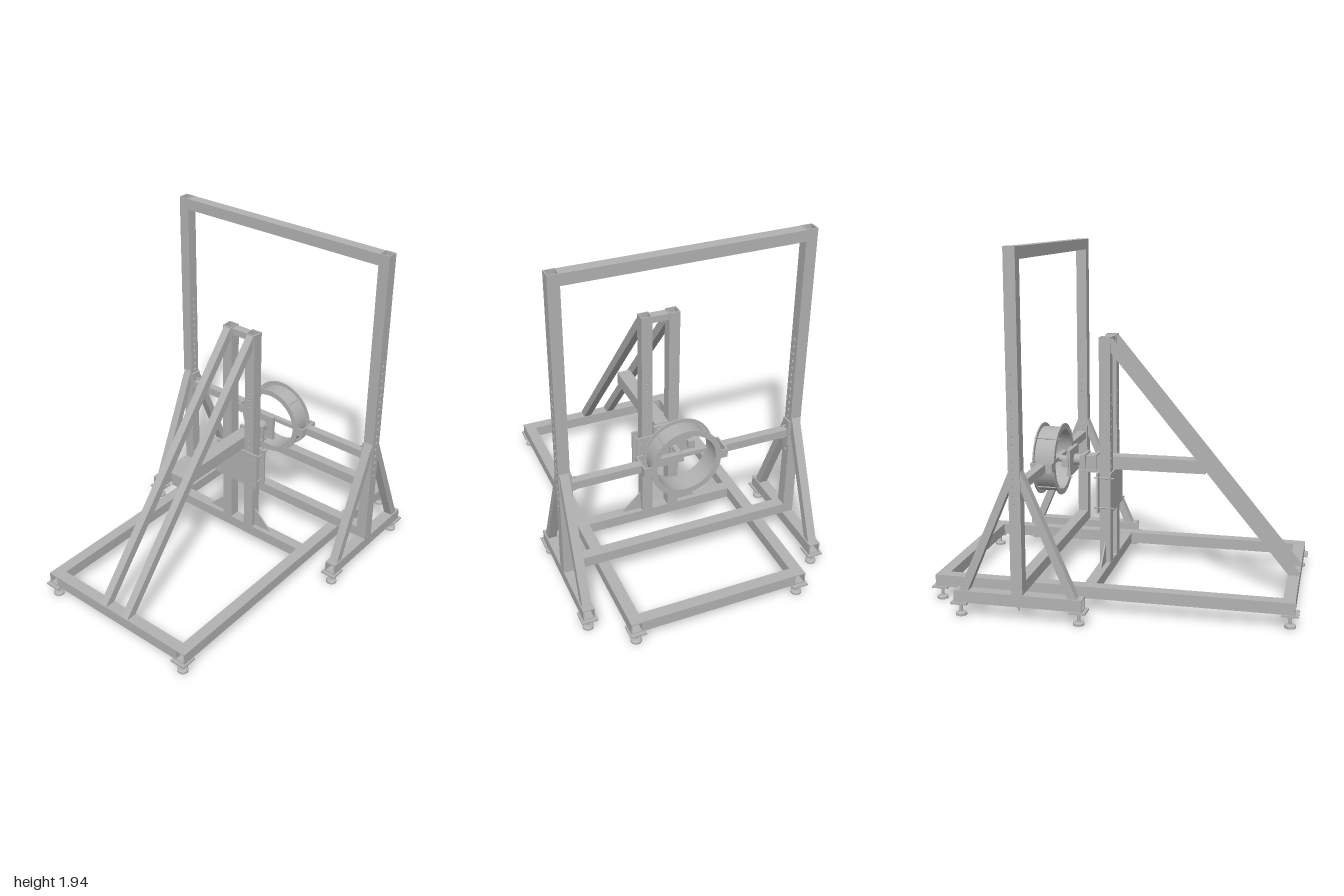
import * as THREE from 'three';

const steel = new THREE.MeshStandardMaterial({ color: 0xb2b2b2 });
steel.name = 'steel grey';
const WALL = 0.006, BEAM = 0.063;

export function createModel() {
  const model = new THREE.Group();
  model.name = 'testRig';

  const add = (name, geo, x = 0, y = 0, z = 0, parent = model) => {
    const mesh = new THREE.Mesh(geo, steel);
    mesh.name = name;
    mesh.position.set(x, y, z);
    parent.add(mesh);
    return mesh;
  };
  // Box from its minimum and maximum corners
  const box = (name, x0, x1, y0, y1, z0, z1, parent) => add(name,
    new THREE.BoxGeometry(x1 - x0, y1 - y0, z1 - z0),
    (x0 + x1) / 2, (y0 + y1) / 2, (z0 + z1) / 2, parent);
  const turn = (geo, axis) => {
    if (axis === 'x') geo.rotateZ(-Math.PI / 2);
    if (axis === 'z') geo.rotateX(Math.PI / 2);
    return geo;
  };
  const rod = (name, axis, r, len, x, y, z, sides = 16) =>
    add(name, turn(new THREE.CylinderGeometry(r, r, len, sides), axis), x, y, z);
  const polygon = pts => new THREE.Shape(pts.map(p => new THREE.Vector2(...p)));
  const extrude = (shape, depth) => new THREE.ExtrudeGeometry(shape,
    { depth, bevelEnabled: false, curveSegments: 5 }).translate(0, 0, -depth / 2);
  const square = s => [[-s, -s], [s, -s], [s, s], [-s, s]];

  // Open-ended hollow square tube
  const tube = (name, axis, len, size, x, y, z) => {
    const shape = polygon(square(size / 2));
    shape.holes.push(polygon(square(size / 2 - WALL)));
    const geo = extrude(shape, len);
    if (axis === 'x') geo.rotateY(Math.PI / 2);
    if (axis === 'y') geo.rotateX(-Math.PI / 2);
    return add(name, geo, x, y, z);
  };

  // Upright hollow tube with a row of holes through its local z walls
  const perforatedPost = (name, x, z, y0, y1, holeY0, holeY1, count, r) => {
    const post = new THREE.Group();
    post.name = name;
    post.position.set(x, 0, z);
    const h = BEAM / 2;
    const shape = polygon([[-h, y0], [h, y0], [h, y1], [-h, y1]]);
    for (let i = 0; i < count; i++) {
      const hole = new THREE.Path();
      hole.absarc(0, holeY0 + (holeY1 - holeY0) * i / (count - 1), r, 0, Math.PI * 2, true);
      shape.holes.push(hole);
    }
    for (const s of [-1, 1]) {
      add('perforatedWall', extrude(shape, WALL), 0, 0, s * (h - WALL / 2), post);
      add('plainWall', new THREE.BoxGeometry(WALL, y1 - y0, BEAM - 2 * WALL),
        s * (h - WALL / 2), (y0 + y1) / 2, 0, post);
    }
    model.add(post);
    return post;
  };

  // Levelling foot with its mounting plate
  const foot = (x, z) => {
    const profile = [[0, 0], [0.03, 0], [0.03, 0.012], [0.022, 0.018], [0.009, 0.02], [0.009, 0.055],
      [0.017, 0.055], [0.017, 0.07], [0, 0.07]].map(p => new THREE.Vector2(...p));
    const geo = new THREE.LatheGeometry(profile, 16).toNonIndexed();
    geo.computeVertexNormals();
    add('levellingFoot', geo, x, 0, z);
    box('footPlate', x - 0.045, x + 0.045, 0.07, 0.08, z - 0.045, z + 0.045);
  };

  // Base frame
  const baseY = 0.1125;
  for (const s of [-1, 1]) {
    tube('baseSideBeam', 'x', 1.96, 0.065, 0, baseY, s * 0.477);
    tube('baseEndBeam', 'z', 0.89, 0.065, s * 0.947, baseY, 0);
    for (const t of [-1, 1]) foot(s * 0.955, t * 0.475);
  }
  tube('baseCrossBeam', 'z', 0.89, BEAM, 0.115, baseY, 0);

  // Gantry
  const gx = 0.445;
  tube('gantryTopBeam', 'z', 1.29, BEAM, gx, 1.907, 0);
  tube('gantryLowerBeam', 'z', 1.29, BEAM, gx, 0.176, 0);
  for (const s of [-1, 1]) {
    const z = s * 0.675;
    perforatedPost('gantryPost', gx, z, 0.145, 1.94, 0.59, 1.302, 17, 0.009);
    tube('outriggerBeam', 'x', 0.70, 0.065, gx, baseY, z);
    foot(0.12, z);
    foot(0.767, z);
    rod('postBolt', 'y', 0.006, 0.03, gx, 0.066, z);
    for (const side of [-1, 1]) {
      const leg = [[-0.32, 0.145], [-0.272, 0.145], [-0.031, 0.71], [-0.031, 0.81]]
        .map(([x, y]) => [x * side, y]);
      add('outriggerBrace', extrude(polygon(leg), 0.05), gx, 0, z);
    }
    // Ring support arm with its end brackets
    tube('ringSupportArm', 'z', 0.39, 0.047, gx, 0.711, s * 0.438);
    box('postBracket', gx - 0.03, gx + 0.03, 0.63, 0.79, s * 0.638 - 0.005, s * 0.638 + 0.005);
    for (const y of [0.67, 0.75]) rod('bracketBolt', 'z', 0.005, 0.05, gx, y, s * 0.63, 8);
    box('ringBracketEnd', 0.385, 0.507, 0.685, 0.737, s * 0.24 - 0.005, s * 0.24 + 0.005);
    for (const x of [0.388, 0.504])
      box('ringBracketSide', x - 0.004, x + 0.004, 0.685, 0.737, s * 0.21 - 0.035, s * 0.21 + 0.035);
    for (const y of [0.57, 0.853]) rod('ringBolt', 'x', 0.004, 0.15, gx, y, s * 0.125, 8);
  }

  // Ring: drum with a flange on each rim
  const annulus = (ro, ri, depth) => {
    const shape = new THREE.Shape().absarc(0, 0, ro, 0, Math.PI * 2, false);
    shape.holes.push(new THREE.Path().absarc(0, 0, ri, 0, Math.PI * 2, true));
    return new THREE.ExtrudeGeometry(shape, { depth, bevelEnabled: false, curveSegments: 32 })
      .translate(0, 0, -depth / 2).rotateY(Math.PI / 2);
  };
  add('ringDrum', annulus(0.184, 0.173, 0.125), gx + 0.002, 0.71, 0);
  for (const s of [-1, 1]) add('ringFlange', annulus(0.205, 0.172, 0.007), gx + 0.002 + s * 0.06, 0.71, 0);

  // Twin mast with rear braces and foot gussets
  const mx = 0.115;
  for (const s of [-1, 1]) {
    const z = s * 0.08;
    perforatedPost('mastPost', mx, z, 0.145, 1.43, 0.66, 1.11, 11, 0.0075).rotation.y = Math.PI / 2;
    const brace = polygon([[-0.98, 0.145], [-0.918, 0.145], [0.084, 1.35], [0.084, 1.425]]);
    add('mastBrace', extrude(brace, 0.045), 0, 0, z);
    const gusset = polygon([[0.11 * s, 0.145], [0.23 * s, 0.145], [0.11 * s, 0.262]]);
    add('mastGusset', extrude(gusset, 0.008).rotateY(-Math.PI / 2), mx, 0, 0);
  }
  box('mastTopSpacer', 0.09, 0.14, 1.387, 1.425, -0.05, 0.05);

  // Carriage clamped around the mast
  for (const x of [0.079, 0.151]) box('carriagePlate', x - 0.005, x + 0.005, 0.44, 0.672, -0.147, 0.147);
  for (const z of [-0.13, 0.13])
    for (const y of [0.47, 0.643]) rod('carriageBolt', 'x', 0.005, 0.115, mx, y, z, 8);

  // Horizontal arm and spindle
  box('carriageArm', -0.44, 0.16, 0.675, 0.75, -0.043, 0.037);
  box('spindleBase', 0.15, 0.28, 0.655, 0.667, -0.06, 0.06);
  box('spindleHousing', 0.155, 0.28, 0.667, 0.745, -0.045, 0.045);
  for (const x of [0.185, 0.25]) box('spindleClamp', x - 0.008, x + 0.008, 0.66, 0.755, -0.06, 0.06);
  rod('spindleNeck', 'x', 0.032, 0.05, 0.30, 0.712, 0, 24);
  box('facePlate', 0.318, 0.338, 0.635, 0.785, -0.105, 0.075);
  box('sensorBlock', 0.325, 0.365, 0.69, 0.735, -0.115, -0.075);
  box('shaftBlock', 0.338, 0.352, 0.67, 0.78, -0.03, 0.03);
  rod('shaft', 'x', 0.018, 0.08, 0.385, 0.712, 0, 20);
  box('crossBar', 0.41, 0.44, 0.70, 0.724, -0.152, 0.152);

  return model;
}
